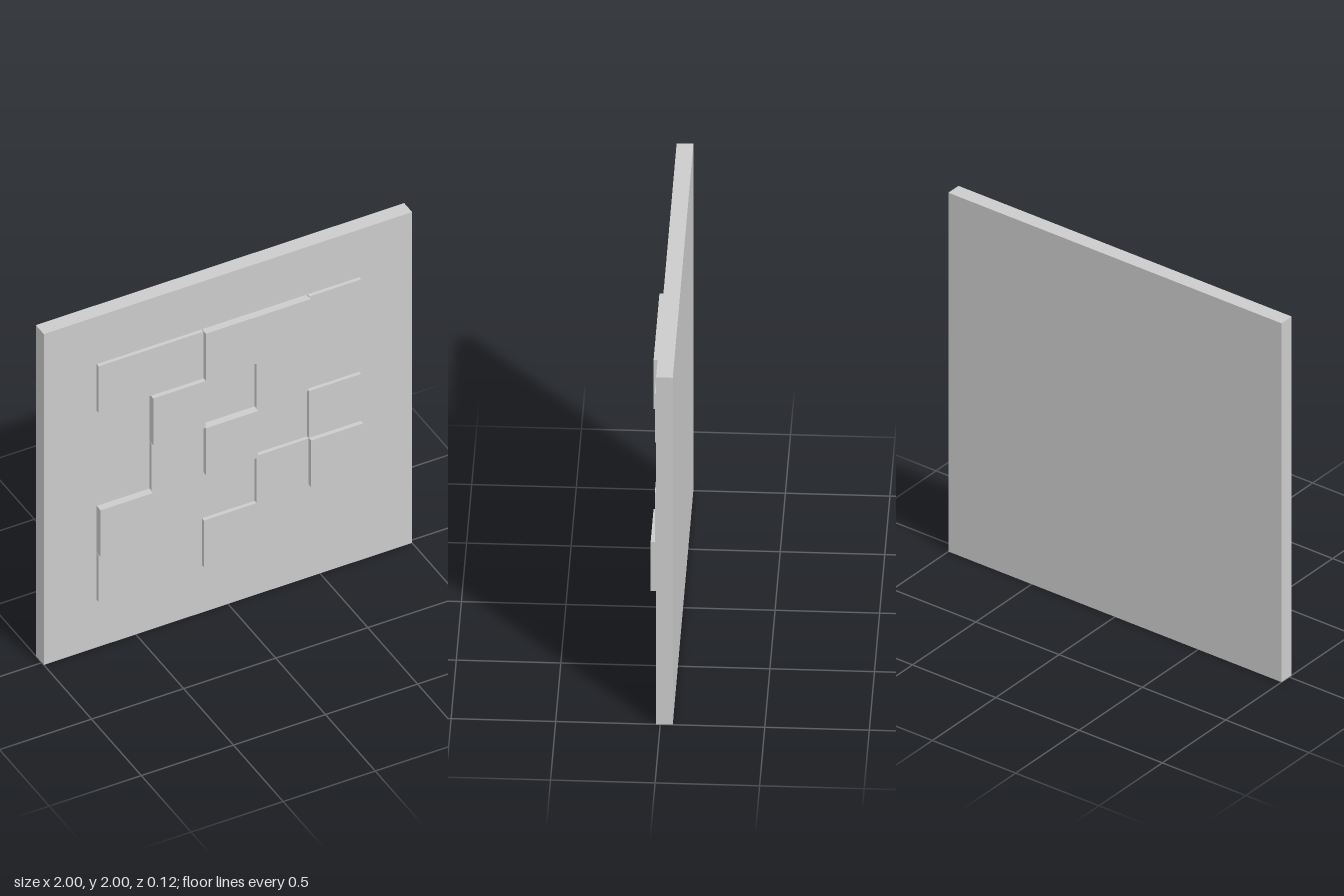
import * as THREE from 'three';

const CELL = 2 / 7;      // the panel is a 7 x 7 grid
const GAP = 0.003;       // hairline gap between tiles
const PANEL_FRONT = 0.02;
const LOW = 0.02, HIGH = 0.04;

// Tiles: [column, row from the top, cells wide, relief height]
const TILES = [
  [1, 1, 2, LOW], [3, 1, 2, HIGH], [5, 1, 1, LOW],
  [2, 2, 1, HIGH], [4, 2, 1, LOW],
  [2, 3, 1, LOW], [3, 3, 1, HIGH], [5, 3, 1, LOW],
  [1, 4, 1, HIGH], [4, 4, 1, LOW], [5, 4, 1, HIGH],
  [1, 5, 1, LOW], [3, 5, 1, LOW],
];

export function createModel() {
  const model = new THREE.Group();
  model.name = 'reliefPanel';
  const material = new THREE.MeshStandardMaterial({ color: 0xcccccc, flatShading: true });

  const addBox = (name, w, h, d, x, y, z) => {
    const mesh = new THREE.Mesh(new THREE.BoxGeometry(w, h, d), material);
    mesh.name = name;
    mesh.position.set(x, y, z);
    model.add(mesh);
  };

  // Square backing panel
  addBox('backPanel', 2, 2, 0.08, 0, 1, -0.02);

  // Raised tiles in two heights on the front
  TILES.forEach(([col, row, span, height], i) => {
    addBox(`${height === HIGH ? 'high' : 'low'}Tile${i + 1}`,
      span * CELL - GAP, CELL - GAP, height,
      -1 + (col + span / 2) * CELL, 2 - (row + 0.5) * CELL, PANEL_FRONT + height / 2);
  });

  return model;
}
